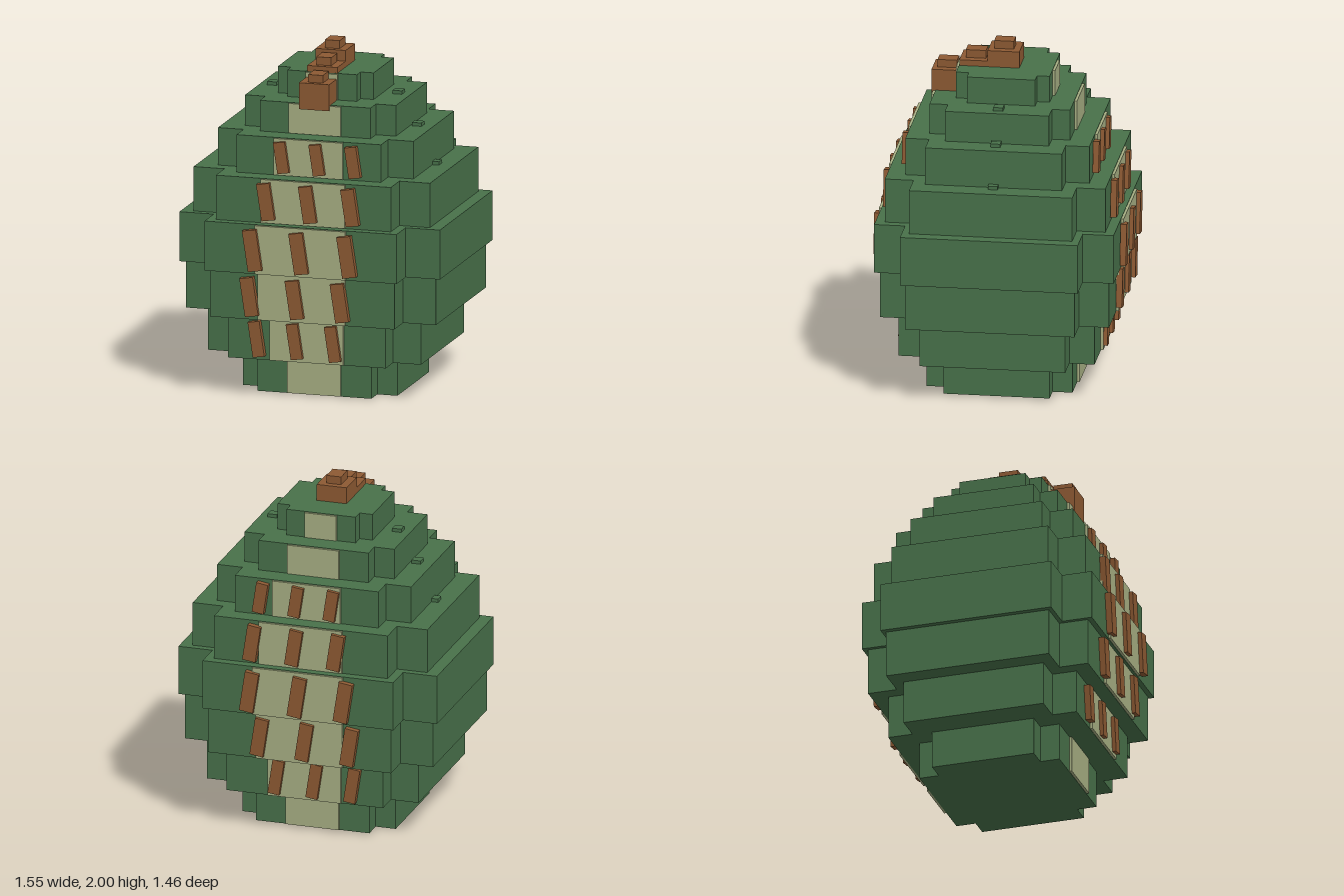
import * as THREE from 'three';

const mat = (name, color) => {
  const m = new THREE.MeshStandardMaterial({ color });
  m.name = name;
  return m;
};

// One row per tier: y range, outer and inner half sizes in x and z, half width of the pale panel
const TIERS = [
  { y0: 0, y1: 0.22, X: 0.46, x: 0.34, Z: 0.42, z: 0.305, panel: 0.16 },
  { y0: 0.22, y1: 0.475, X: 0.635, x: 0.47, Z: 0.565, z: 0.42, panel: 0.22 },
  { y0: 0.475, y1: 0.75, X: 0.745, x: 0.55, Z: 0.66, z: 0.488, panel: 0.26 },
  { y0: 0.75, y1: 1.04, X: 0.777, x: 0.573, Z: 0.69, z: 0.512, panel: 0.27 },
  { y0: 1.04, y1: 1.3, X: 0.705, x: 0.522, Z: 0.635, z: 0.47, panel: 0.25 },
  { y0: 1.3, y1: 1.52, X: 0.583, x: 0.431, Z: 0.53, z: 0.394, panel: 0.205 },
  { y0: 1.52, y1: 1.7, X: 0.45, x: 0.33, Z: 0.405, z: 0.3, panel: 0.155 },
  { y0: 1.7, y1: 1.856, X: 0.285, x: 0.208, Z: 0.27, z: 0.197, panel: 0.095 },
];

// Rows of slanted bars: tier index, centre height, bar width and height, x centres
const BAR_ROWS = [
  { tier: 1, y: 0.345, w: 0.07, h: 0.207, xs: [-0.293, -0.066, 0.162] },
  { tier: 2, y: 0.613, w: 0.08, h: 0.226, xs: [-0.307, -0.037, 0.232] },
  { tier: 3, y: 0.893, w: 0.083, h: 0.241, xs: [-0.28, -0.003, 0.283] },
  { tier: 4, y: 1.17, w: 0.079, h: 0.216, xs: [-0.216, 0.034, 0.286] },
  { tier: 5, y: 1.41, w: 0.07, h: 0.182, xs: [-0.155, 0.057, 0.27] },
];

// Crown blocks running from the top to the front: z range, y range, then the knob on each
const CROWN = [
  { z: [-0.078, 0.105], y: [1.85, 1.953], knob: { z: [-0.04, 0.073], top: 2.0 } },
  { z: [0.105, 0.268], y: [1.80, 1.89], knob: { z: [0.12, 0.237], top: 1.937 } },
  { z: [0.285, 0.428], y: [1.67, 1.825], knob: { z: [0.287, 0.4], top: 1.87 } },
];

export function createModel() {
  const model = new THREE.Group();
  model.name = 'steppedEgg';
  const green = mat('leaf green', 0x48714a);
  const cream = mat('pale olive', 0xa7af83);
  const brown = mat('bark brown', 0x8d5a33);

  const box = (name, material, w, h, d, x, y, z) => {
    const mesh = new THREE.Mesh(new THREE.BoxGeometry(w, h, d), material);
    mesh.position.set(x, y, z);
    mesh.name = name;
    model.add(mesh);
    return mesh;
  };

  // Cross-shaped tiers of the shell with a pale panel front and back
  TIERS.forEach(({ y0, y1, X, x, Z, z, panel }) => {
    const cross = new THREE.Shape([
      [X, -z], [X, z], [x, z], [x, Z], [-x, Z], [-x, z],
      [-X, z], [-X, -z], [-x, -z], [-x, -Z], [x, -Z], [x, -z],
    ].map(([a, b]) => new THREE.Vector2(a, b)));
    const geo = new THREE.ExtrudeGeometry(cross, { depth: y1 - y0, bevelEnabled: false });
    geo.rotateX(-Math.PI / 2);
    const tier = new THREE.Mesh(geo, green);
    tier.position.y = y0;
    tier.name = 'shellTier';
    model.add(tier);
    for (const s of [1, -1]) {
      box(s > 0 ? 'frontPanel' : 'backPanel', cream,
        panel * 2, y1 - y0 - 0.006, 0.025, 0, (y0 + y1) / 2, s * (Z + 0.0025));
    }
  });

  // Slanted bars over the panels
  for (const { tier, y, w, h, xs } of BAR_ROWS) {
    for (const s of [1, -1]) {
      for (const x of xs) {
        const bar = box(s > 0 ? 'frontBar' : 'backBar', brown,
          w, h, 0.035, x, y, s * (TIERS[tier].Z + 0.02));
        bar.rotation.z = 0.15;
      }
    }
  }

  // Small studs on the side ledges
  for (const [x, y] of [[0.595, 1.3], [0.49, 1.52], [0.374, 1.7]]) {
    for (const s of [1, -1]) box('ledgeStud', green, 0.056, 0.04, 0.056, s * x, y, 0);
  }

  // Crown blocks and their knobs
  for (const { z, y, knob } of CROWN) {
    box('crownBlock', brown, 0.18, y[1] - y[0], z[1] - z[0],
      0, (y[0] + y[1]) / 2, (z[0] + z[1]) / 2);
    box('crownKnob', brown, 0.088, knob.top - y[1], knob.z[1] - knob.z[0],
      0, (y[1] + knob.top) / 2, (knob.z[0] + knob.z[1]) / 2);
  }

  return model;
}
